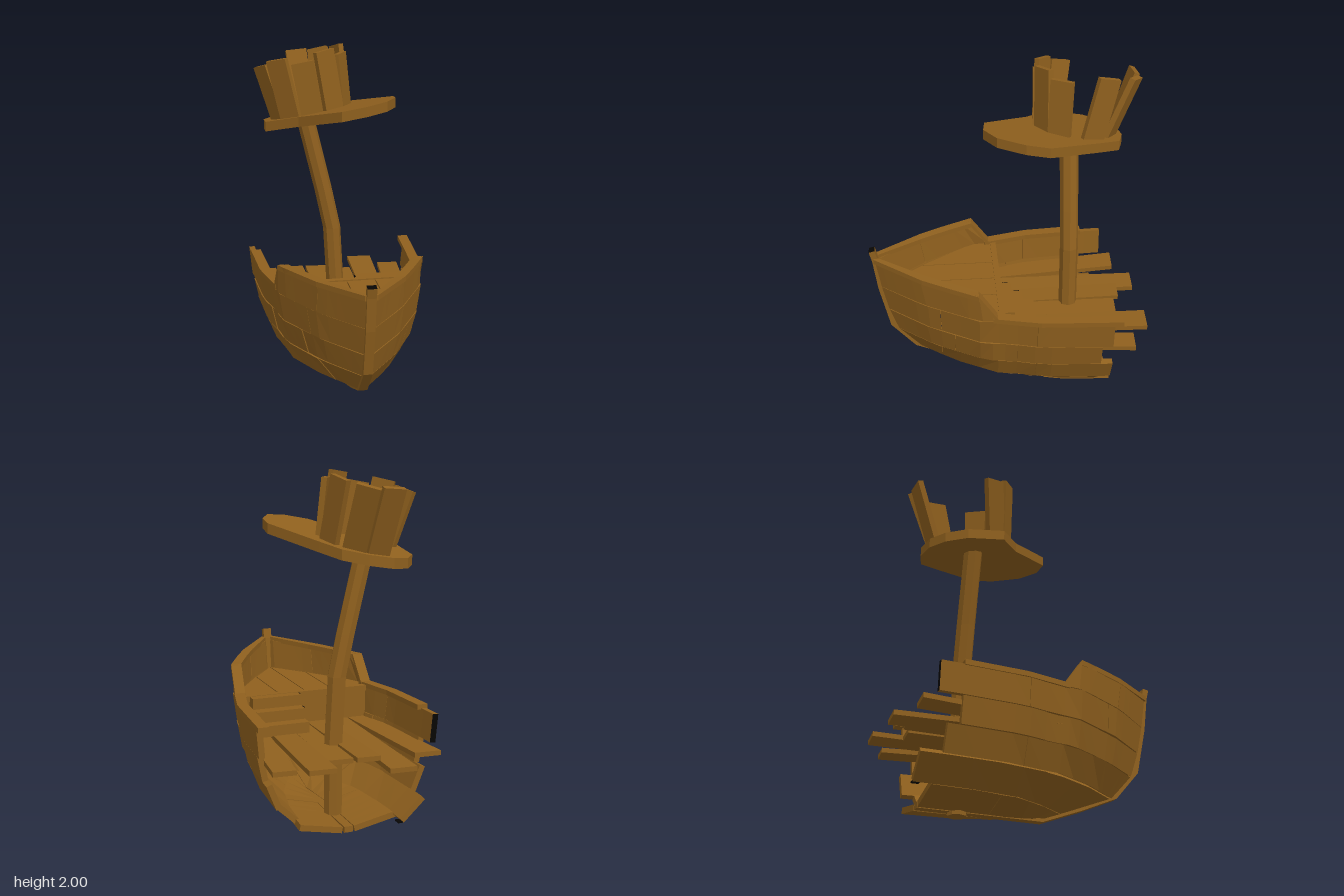
import * as THREE from 'three';

const wood = new THREE.MeshStandardMaterial({ color: 0x8f601e });
wood.name = 'weathered wood';
const charred = new THREE.MeshStandardMaterial({ color: 0x080604 });
charred.name = 'charred wood';

// piecewise linear lookup
function lookup(pts, v) {
  if (v <= pts[0][0]) return pts[0][1];
  for (let i = 1; i < pts.length; i++) {
    const [a, p] = pts[i - 1], [b, q] = pts[i];
    if (v <= b) return p + (q - p) * (v - a) / (b - a);
  }
  return pts[pts.length - 1][1];
}
const lerp = THREE.MathUtils.lerp;

// hull shape: bow position and half width by height, fullness along the length
const bowZ = y => lookup([[0.02, 0.12], [0.2, 0.57], [0.37, 0.715], [0.65, 0.775], [0.87, 0.81]], y);
const width = y => lookup([[0.02, 0.03], [0.07, 0.28], [0.19, 0.41], [0.34, 0.47], [0.49, 0.5], [0.66, 0.515]], y);
const full = t => lookup([[0, 0.03], [0.19, 0.44], [0.42, 0.8], [0.52, 0.83], [0.67, 0.94], [1, 1]], t);
const hullX = (y, z) => width(y) * full((bowZ(y) - z) / (bowZ(y) + 0.6));

let seed = 7;
const rand = () => (seed = (seed * 16807) % 2147483647) / 2147483647;

// solid from four-cornered sections; side -1 mirrors it in x; the two ends may be another material
function loft(name, sections, side = 1, startEnd = wood, lastEnd = wood) {
  const pos = [];
  const quad = (a, b, c, d) => {
    const order = side > 0 ? [a, b, c, a, c, d] : [a, c, b, a, d, c];
    for (const p of order) pos.push(p[0] * side, p[1], p[2]);
  };
  for (let i = 0; i < sections.length - 1; i++) {
    const s = sections[i], e = sections[i + 1];
    for (let k = 0; k < 4; k++) {
      const n = (k + 1) % 4;
      quad(s[k], e[k], e[n], s[n]);
    }
  }
  const body = pos.length / 3;
  quad(...sections[0]);
  quad(...[...sections[sections.length - 1]].reverse());
  const geo = new THREE.BufferGeometry();
  geo.setAttribute('position', new THREE.Float32BufferAttribute(pos, 3));
  geo.computeVertexNormals();
  geo.addGroup(0, body, 0);
  geo.addGroup(body, 6, 1);
  geo.addGroup(body + 6, 6, 2);
  const mesh = new THREE.Mesh(geo, [wood, startEnd, lastEnd]);
  mesh.name = name;
  return mesh;
}

function box(name, w, h, d, x, y, z, material = wood) {
  const mesh = new THREE.Mesh(new THREE.BoxGeometry(w, h, d), material);
  mesh.position.set(x, y, z);
  mesh.name = name;
  return mesh;
}

// one hull plank between two heights; start and end are [lower z, upper z]
function hullPlank(y0, y1, start, end, side, lastEnd = wood) {
  const out = rand() * 0.012, steps = 5, thick = 0.035;
  const dx = width(y1) - width(y0), dy = y1 - y0, len = Math.hypot(dx, dy);
  const nx = -dy / len, ny = dx / len;
  const sections = [];
  for (let i = 0; i <= steps; i++) {
    const s = i / steps;
    const [lo, hi] = [y0, y1].map((y, k) => {
      const z = lerp(Math.min(start[k], bowZ(y)), end[k], s);
      return [hullX(y, z) + out * Math.min(1, (bowZ(y) - z) * 4), y, z];
    });
    const inner = p => [Math.max(p[0] + nx * thick, 0), p[1] + ny * thick, p[2]];
    sections.push([lo, hi, inner(hi), inner(lo)]);
  }
  return loft('hullPlank', sections, side, wood, lastEnd);
}

// flat plank: front and back edges as [x0, x1, z0, z1, y]
function flatPlank(name, front, back, thick) {
  const section = ([x0, x1, z0, z1, y]) =>
    [[x1, y - thick, z1], [x1, y, z1], [x0, y, z0], [x0, y - thick, z0]];
  return loft(name, [section(front), section(back)]);
}

function hull() {
  const g = new THREE.Group();
  g.name = 'hull';
  // lower y, upper y, seams, stern end on the left and right, right stern end material
  const courses = [
    [0.02, 0.07, [-0.2], -0.6, -0.6, wood],
    [0.072, 0.192, [0.02], -0.51, -0.7, wood],
    [0.197, 0.338, [0.42, -0.13], -0.58, -0.58, wood],
    [0.343, 0.49, [0.34, -0.02], -0.51, -0.51, wood],
    [0.496, 0.66, [0.42, -0.13], -0.57, -0.64, charred],
  ];
  for (const side of [1, -1]) {
    for (const [y0, y1, seams, left, right, rightEnd] of courses) {
      const cuts = [1, ...seams, side > 0 ? left : right];
      for (let i = 0; i < cuts.length - 1; i++) {
        const a = cuts[i] - (i ? 0.002 : 0), b = cuts[i + 1];
        const stern = i === cuts.length - 2 && side < 0;
        g.add(hullPlank(y0, y1, [a, a], [b, b], side, stern ? rightEnd : wood));
      }
    }
    // raised bow side
    g.add(hullPlank(0.662, 0.84, [1, 1], [0.5, 0.53], side));
    g.add(hullPlank(0.662, 0.84, [0.498, 0.528], [0.1, 0.2], side));
    // rails
    const rail = pts => loft('rail', pts.map(([z, y]) => {
      const x = hullX(y, z), o = x + 0.013, n = Math.max(x - 0.05, 0);
      return [[o, y - 0.03, z], [o, y, z], [n, y, z], [n, y - 0.03, z]];
    }), side);
    g.add(rail([[0.12, 0.685], [-0.15, 0.685], [-0.35, 0.685], [side > 0 ? -0.62 : -0.51, 0.685]]));
    g.add(rail([[0.8, 0.865], [0.52, 0.85], [0.36, 0.845], [0.2, 0.838], [0.09, 0.68]]));
  }
  g.add(box('brokenEdge', 0.03, 0.009, 0.04, -0.272, 0.077, -0.68, charred));
  return g;
}

// stem and keel follow one bent line
function keel() {
  const path = [[0.825, 0.91], [0.81, 0.85], [0.785, 0.65], [0.725, 0.37], [0.58, 0.2], [0.36, 0.105], [0.12, 0.015], [-0.6, 0.02]];
  return loft('keel', path.map(([z, y], i) => {
    const a = path[Math.max(i - 1, 0)], b = path[Math.min(i + 1, path.length - 1)];
    const len = Math.hypot(b[0] - a[0], b[1] - a[1]);
    const iz = z + (b[1] - a[1]) / len * 0.035, iy = y - (b[0] - a[0]) / len * 0.035;
    return [[0.026, y, z], [0.026, iy, iz], [-0.026, iy, iz], [-0.026, y, z]];
  }), 1, charred);
}

function decks() {
  const g = new THREE.Group();
  g.name = 'decks';
  // main deck: front x0, x1, back x0, x1, back z, back y
  const planks = [
    [-0.41, -0.275, -0.5, -0.345, -0.72, 0.475], [-0.27, -0.14, -0.305, -0.15, -0.82, 0.44],
    [-0.135, -0.005, -0.145, -0.01, -0.7, 0.48], [0, 0.13, 0, 0.145, -0.66, 0.47],
    [0.135, 0.27, 0.16, 0.315, -0.82, 0.485], [0.275, 0.41, 0.35, 0.48, -0.72, 0.465],
  ];
  for (const [a, b, c, d, z, y] of planks)
    g.add(flatPlank('deckPlank', [a, b, 0.08, 0.08, 0.475], [c, d, z, z + 0.01, y], 0.028));
  // raised bow deck
  const edges = [[-0.39, 0.2], [-0.17, 0.52], [0, 0.74], [0.17, 0.52], [0.39, 0.2]];
  for (let i = 0; i < 4; i++) {
    const [x0, z0] = edges[i], [x1, z1] = edges[i + 1];
    g.add(flatPlank('bowDeckPlank', [x0, x1 - 0.006, z0, z1, 0.665], [x0, x1 - 0.006, 0.06, 0.06, 0.665], 0.028));
  }
  g.add(box('bulkhead', 0.78, 0.19, 0.025, 0, 0.56, 0.075));
  g.add(box('bulkheadBeam', 0.78, 0.035, 0.035, 0, 0.655, 0.065));
  // steps up to the bow deck, with charred tread ends
  for (let i = 0; i < 3; i++) {
    const h = 0.065 * (i + 1), z = -0.115 + 0.07 * i;
    g.add(box('step', 0.3, h, 0.07, 0.21, 0.475 + h / 2, z));
    if (i) g.add(box('treadEnd', 0.006, 0.06, 0.035, 0.058, 0.445 + h, z, charred));
  }
  return g;
}

// bent eight-sided mast
function mast() {
  const geo = new THREE.CylinderGeometry(0.055, 0.055, 1.56, 8, 5).toNonIndexed();
  const p = geo.attributes.position;
  const levels = [0, 0.47, 0.86, 1.1, 1.32, 1.56];
  const bend = [[0, 0], [0.47, 0], [0.86, -0.02], [1.1, -0.07], [1.56, -0.178]];
  for (let i = 0; i < p.count; i++) {
    const y = levels[Math.round((p.getY(i) + 0.78) / 1.56 * 5)];
    p.setXYZ(i, p.getX(i) + lookup(bend, y), y, p.getZ(i) - 0.37);
  }
  geo.computeVertexNormals();
  const mesh = new THREE.Mesh(geo, wood);
  mesh.name = 'mast';
  return mesh;
}

function crowsNest() {
  const g = new THREE.Group();
  g.name = 'lookoutNest';
  const thick = 0.058;
  const top = (x, z) => 1.684 + 0.175 * x + 0.15 * z;

  // tilted oval platform
  const outline = [[-0.43, -0.27], [-0.25, -0.13], [-0.13, 0.02], [-0.04, 0.13], [0.1, 0.145], [0.23, 0.08], [0.31, -0.07],
    [0.325, -0.2], [0.14, -0.5], [0.06, -0.62], [-0.08, -0.66], [-0.23, -0.65], [-0.34, -0.59], [-0.42, -0.48]];
  const shape = new THREE.Shape(outline.map(([x, z]) => new THREE.Vector2(x, -z)));
  const geo = new THREE.ExtrudeGeometry(shape, { depth: thick, bevelEnabled: false });
  geo.rotateX(-Math.PI / 2);
  const p = geo.attributes.position;
  for (let i = 0; i < p.count; i++) p.setY(i, p.getY(i) - thick + top(p.getX(i), p.getZ(i)));
  geo.computeVertexNormals();
  const platform = new THREE.Mesh(geo, wood);
  platform.name = 'platform';
  g.add(platform);

  // leaning staves: base x, z, top x, y, z
  const staves = [
    [-0.15, -0.6, -0.185, 1.92, -0.73], [-0.03, -0.57, -0.05, 1.93, -0.715], [0.07, -0.46, 0.04, 1.97, -0.55],
    [0.05, -0.28, 0.02, 1.96, -0.295], [-0.03, -0.2, -0.09, 1.99, -0.205], [-0.16, -0.17, -0.22, 1.93, -0.175],
    [-0.28, -0.21, -0.36, 1.94, -0.23], [-0.34, -0.29, -0.44, 1.89, -0.34],
  ];
  for (const [bx, bz, tx, ty, tz] of staves) {
    const base = new THREE.Vector3(bx, top(bx, bz) - 0.02, bz), tip = new THREE.Vector3(tx, ty, tz);
    const up = tip.clone().sub(base), len = up.length();
    up.normalize();
    const across = up.clone().cross(new THREE.Vector3(bx + 0.14, 0, bz + 0.39)).normalize();
    const stave = box('stave', 0.13, len, 0.032, 0, 0, 0);
    stave.quaternion.setFromRotationMatrix(new THREE.Matrix4().makeBasis(across, up, across.clone().cross(up)));
    stave.position.copy(base).lerp(tip, 0.5);
    g.add(stave);
  }
  return g;
}

export function createModel() {
  seed = 7;
  const model = new THREE.Group();
  model.name = 'wreckedShipBow';
  model.add(hull(), keel(), decks(), mast(), crowsNest());
  return model;
}
